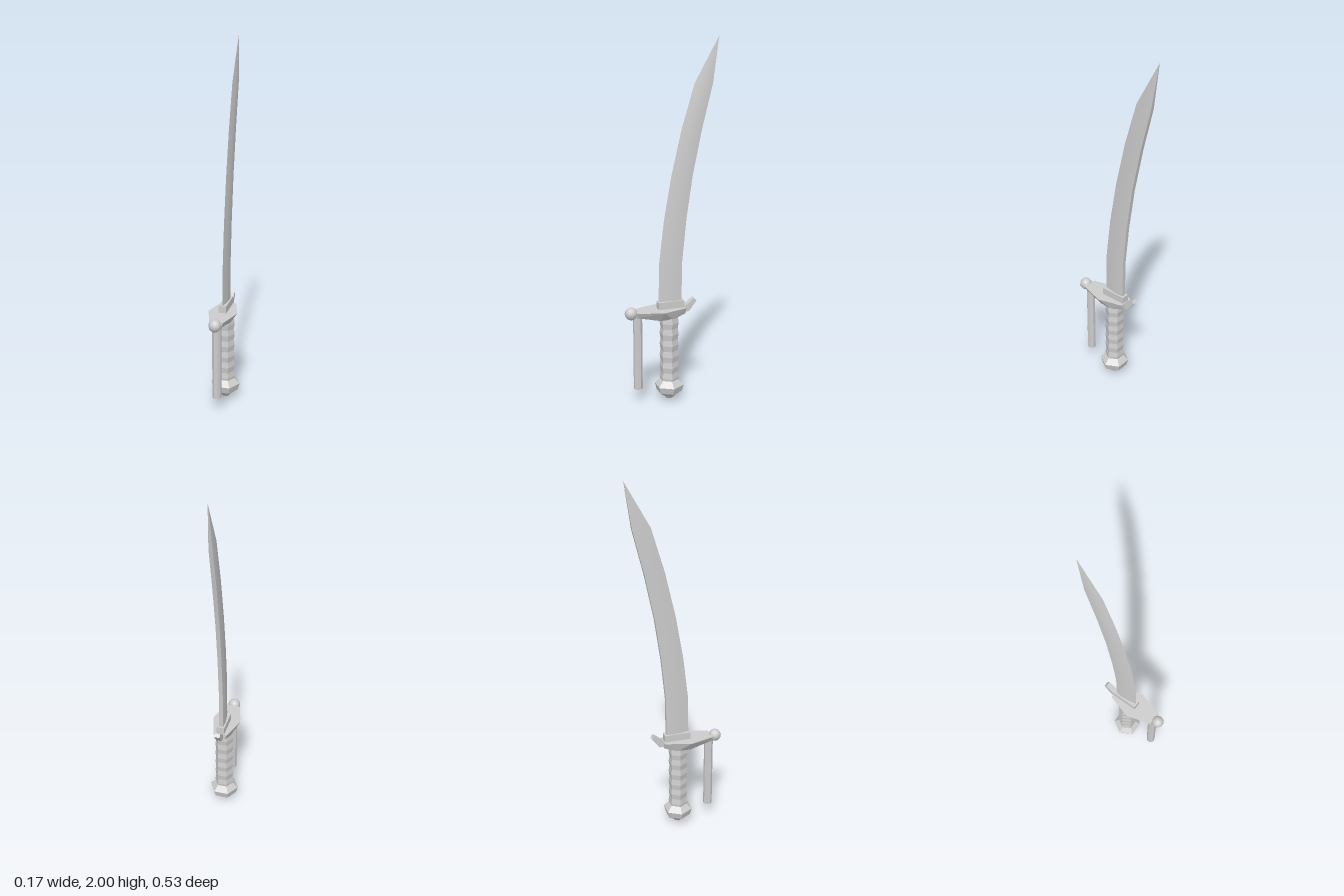
import * as THREE from 'three';
import { toCreasedNormals } from 'three/addons/utils/BufferGeometryUtils.js';
import { ConvexGeometry } from 'three/addons/geometries/ConvexGeometry.js';

const steel = new THREE.MeshStandardMaterial({ color: 0xcccccc });
steel.name = 'steel';

function add(group, name, geometry, x = 0, y = 0, z = 0) {
  const mesh = new THREE.Mesh(geometry, steel);
  mesh.name = name;
  mesh.position.set(x, y, z);
  group.add(mesh);
}

// Convex solid from [half width, y, z] points mirrored across x
function mirroredHull(points) {
  return new ConvexGeometry(points.flatMap(([x, y, z]) =>
    [new THREE.Vector3(x, y, z), new THREE.Vector3(-x, y, z)]));
}

// Six-sided faceted turning with a corner on each side
function hexLathe(profile) {
  const points = profile.map(([r, y]) => new THREE.Vector2(r, y));
  return toCreasedNormals(new THREE.LatheGeometry(points, 6, Math.PI / 6), 0.1);
}

// Curved blade lofted through sections of [y, edge z, spine z, thickness scale]
function bladeGeometry() {
  const sections = [
    [0.54, 0.074, -0.056, 1], [0.8, 0.069, -0.06, 1], [1.03, 0.042, -0.083, 1],
    [1.27, 0, -0.118, 1], [1.52, -0.058, -0.17, 1], [1.76, -0.13, -0.23, 0.95],
    [2, -0.265, -0.266, 0.1],
  ];
  // [half width, fraction from edge to spine]
  const ring = [[0, 0], [0.009, 0.35], [0.014, 0.7], [0.011, 1], [-0.011, 1], [-0.014, 0.7], [-0.009, 0.35]];
  const n = ring.length;
  const positions = [];
  const index = [];
  sections.forEach(([y, edge, spine, s], i) => {
    ring.forEach(([x, t], j) => {
      positions.push(x * s, y, edge + (spine - edge) * t);
      if (i === 0) return;
      const a = (i - 1) * n + j;
      const b = (i - 1) * n + (j + 1) % n;
      index.push(a, b, b + n, a, b + n, a + n);
    });
  });
  const top = (sections.length - 1) * n;
  for (let j = 1; j < n - 1; j++) index.push(0, j + 1, j, top, top + j, top + j + 1);
  const geometry = new THREE.BufferGeometry();
  geometry.setAttribute('position', new THREE.Float32BufferAttribute(positions, 3));
  geometry.setIndex(index);
  return toCreasedNormals(geometry, 0.6);
}

export function createModel() {
  const sword = new THREE.Group();
  sword.name = 'curvedSword';

  add(sword, 'blade', bladeGeometry());
  add(sword, 'bladeCollar', new THREE.BoxGeometry(0.044, 0.07, 0.148), 0, 0.545, 0.005);

  // Flat-topped guard, tapering underneath
  add(sword, 'guard', mirroredHull([
    [0.04, 0.54, 0.205], [0.081, 0.54, 0.065], [0.04, 0.54, -0.075],
    [0.025, 0.51, 0.205], [0.042, 0.484, 0.075], [0.042, 0.484, 0], [0.025, 0.505, -0.075],
  ]));

  // Upturned tab behind the guard
  add(sword, 'guardTab', mirroredHull([
    [0.016, 0.538, -0.07], [0.016, 0.507, -0.06], [0.016, 0.512, -0.1],
    [0.016, 0.568, -0.144], [0.016, 0.585, -0.13],
  ]));

  add(sword, 'guardBall', new THREE.SphereGeometry(0.035, 10, 8), 0, 0.53, 0.231);
  add(sword, 'knuckleBar',
    toCreasedNormals(new THREE.CylinderGeometry(0.025, 0.025, 0.425, 8, 1, false, Math.PI / 8), 0.1),
    0, 0.3, 0.194);

  // Grip with shallow finger waves
  const grip = [];
  for (let i = 0; i <= 12; i++) grip.push([i % 2 ? 0.054 : 0.049, 0.1 + i * 0.0325]);
  add(sword, 'grip', hexLathe(grip), 0, 0, 0.012);

  add(sword, 'pommel', hexLathe([
    [0, 0], [0.022, 0.008], [0.036, 0.025], [0.072, 0.05],
    [0.083, 0.088], [0.052, 0.12], [0, 0.12],
  ]), 0, 0, 0.012);

  return sword;
}
